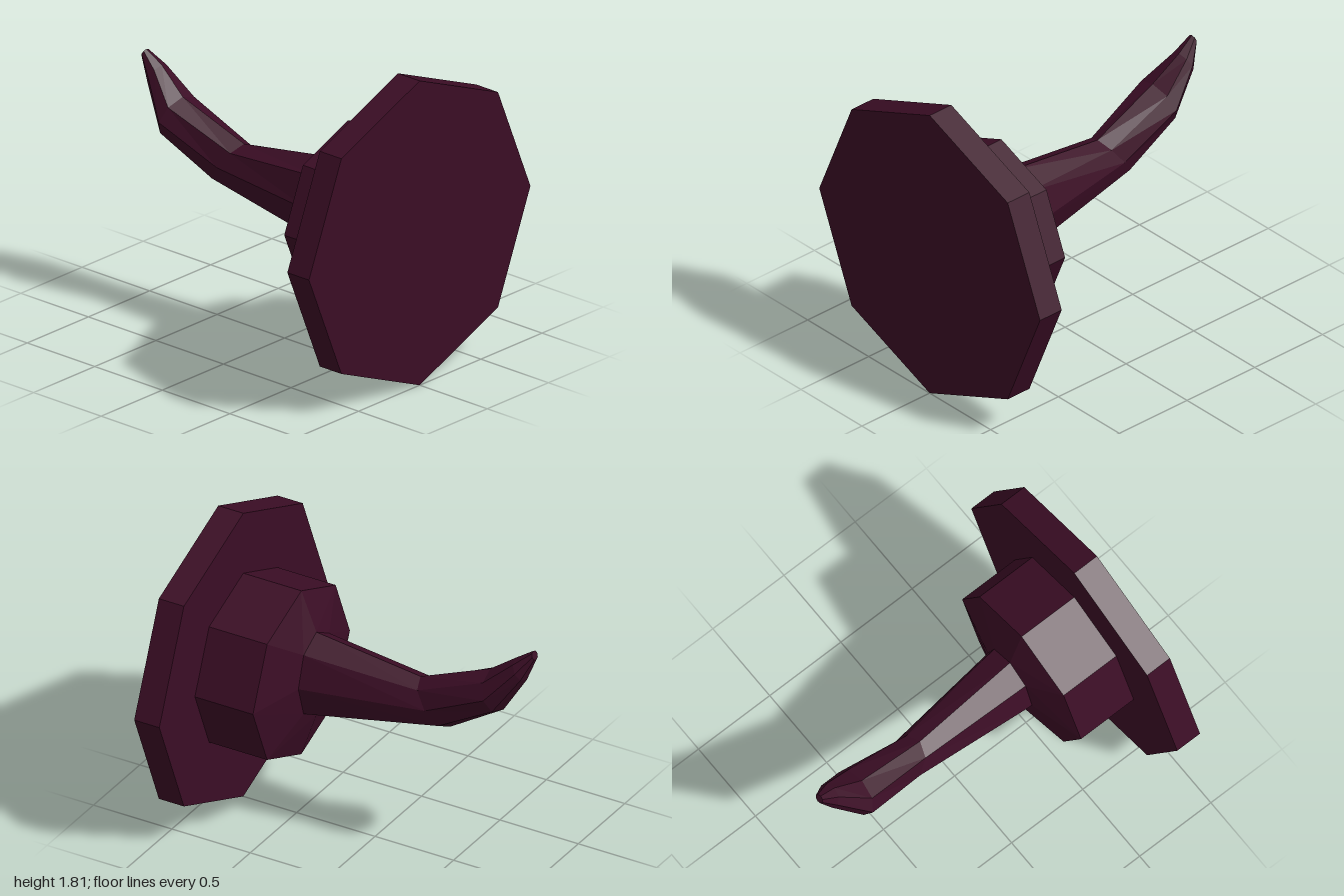
import * as THREE from 'three';

const SIDES = 8;

// A ring: centre, half-axis in the xy plane (dx, dy), half-width in z
const ring = (x, y, z, dx, dy, hz) =>
  Array.from({ length: SIDES }, (_, i) => {
    const a = (i / SIDES) * Math.PI * 2;
    return new THREE.Vector3(x + dx * Math.cos(a), y + dy * Math.cos(a), z + hz * Math.sin(a));
  });

// Skin rings running from +x to -x, closing the ends if asked
function loft(rings, capStart, capEnd) {
  const pos = [];
  const tri = (...pts) => pts.forEach((p) => pos.push(p.x, p.y, p.z));
  for (let r = 0; r < rings.length - 1; r++) {
    for (let i = 0; i < SIDES; i++) {
      const j = (i + 1) % SIDES;
      const a = rings[r], b = rings[r + 1];
      tri(a[i], b[i], a[j]);
      tri(a[j], b[i], b[j]);
    }
  }
  const first = rings[0], last = rings[rings.length - 1];
  for (let i = 1; i < SIDES - 1; i++) {
    if (capStart) tri(first[0], first[i], first[i + 1]);
    if (capEnd) tri(last[0], last[i + 1], last[i]);
  }
  const geo = new THREE.BufferGeometry();
  geo.setAttribute('position', new THREE.Float32BufferAttribute(pos, 3));
  geo.computeVertexNormals();
  return geo;
}

export function createModel() {
  const group = new THREE.Group();
  const maroon = new THREE.MeshStandardMaterial({ color: 0x3b0d25, flatShading: true });
  maroon.name = 'dark maroon';

  const add = (name, geo) => {
    const mesh = new THREE.Mesh(geo, maroon);
    mesh.name = name;
    group.add(mesh);
  };

  const cy = 0.905;
  const hornBase = ring(0.38, 0.92, 0.01, 0, 0.265, 0.195);

  // Octagonal wall plate
  add('backPlate', loft([
    ring(1, cy, 0, 0, 0.905, 0.905),
    ring(0.84, cy, 0, 0, 0.905, 0.905),
  ], true, true));

  // Hub with a sloping shoulder that meets the horn
  add('hub', loft([
    ring(0.84, cy, 0, 0, 0.522, 0.522),
    ring(0.47, cy, 0, 0, 0.522, 0.522),
    hornBase,
  ], false, false));

  // Curved horn, sweeping upwards to a blunt tip
  add('horn', loft([
    hornBase,
    ring(-0.365, 0.957, 0.033, 0.095, 0.132, 0.118),
    ring(-0.742, 1.138, 0.06, 0.042, 0.118, 0.15),
    ring(-0.91, 1.33, 0.038, 0.035, 0.06, 0.073),
    ring(-0.99, 1.435, 0.048, 0.01, 0.025, 0.028),
  ], false, true));

  return group;
}
